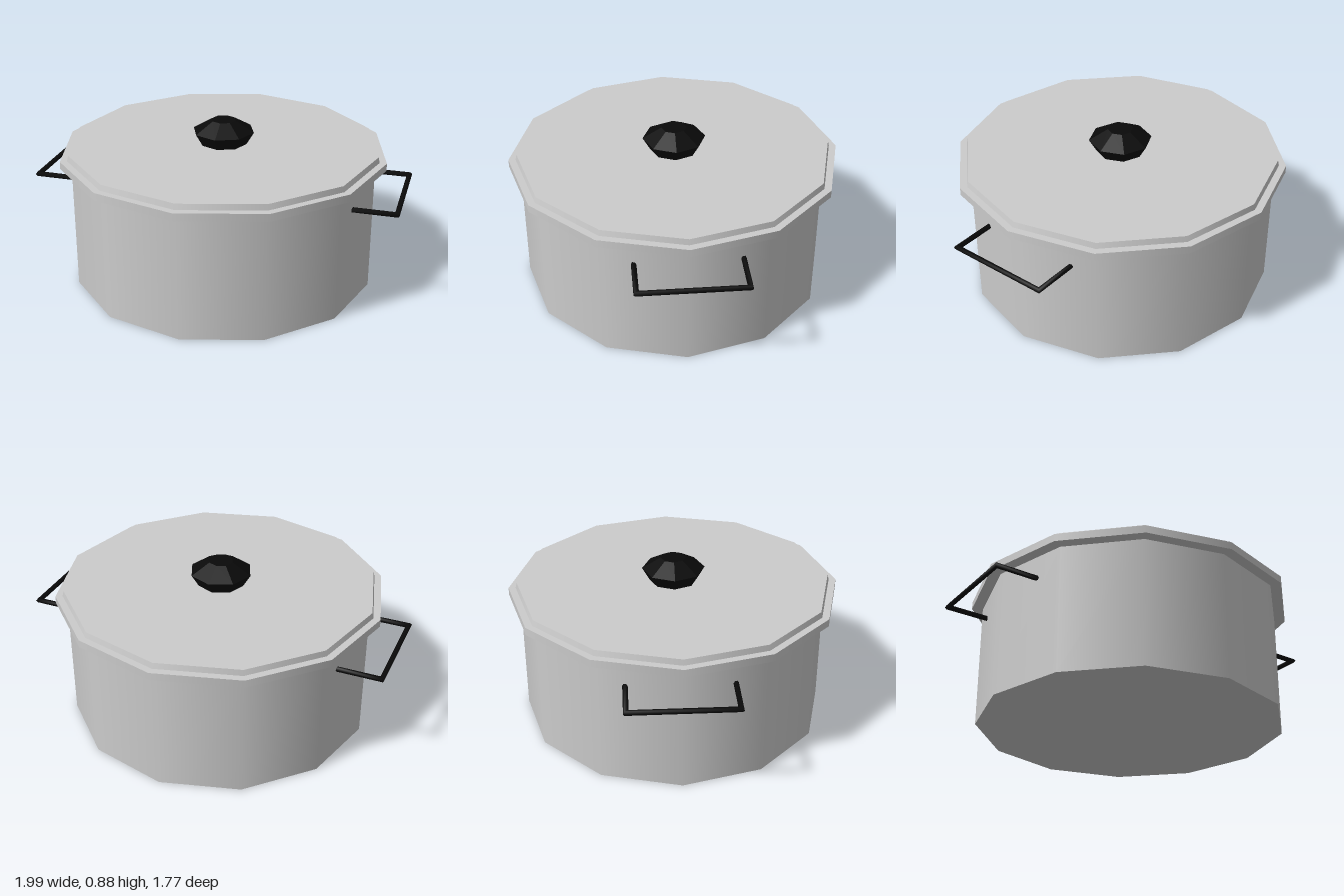
import * as THREE from 'three';

const steel = new THREE.MeshStandardMaterial({ color: 0xcccccc });
const black = new THREE.MeshStandardMaterial({ color: 0x0a0a0a });
const blackFacets = new THREE.MeshStandardMaterial({ color: 0x0a0a0a, flatShading: true });

// Twelve-sided smooth disc or drum between two heights
function drum(name, rTop, rBottom, y0, y1) {
  const geo = new THREE.CylinderGeometry(rTop, rBottom, y1 - y0, 12);
  geo.translate(0, (y0 + y1) / 2, 0);
  const mesh = new THREE.Mesh(geo, steel);
  mesh.name = name;
  return mesh;
}

// Hexagonal rod bent into a U with mitred corners, on side +1 or -1
function handleGeometry(side) {
  const r = 0.0135, sides = 6;
  // x, z of each ring centre, then its outward direction in x, z
  const stations = [
    [0.74, 0.27, 0, 1],
    [0.982, 0.27, 1, 1],
    [0.982, -0.27, 1, -1],
    [0.74, -0.27, 0, -1],
  ];
  const pos = [], index = [];
  stations.forEach(([x, z, ox, oz], i) => {
    for (let k = 0; k < sides; k++) {
      const a = (k / sides) * Math.PI * 2;
      const out = r * Math.cos(a);
      pos.push(side * (x + ox * out), r * Math.sin(a), z + oz * out);
      if (i === 0) continue;
      const k2 = (k + 1) % sides;
      const a0 = (i - 1) * sides + k, b0 = (i - 1) * sides + k2;
      const a1 = i * sides + k, b1 = i * sides + k2;
      if (side > 0) index.push(a0, a1, b1, a0, b1, b0);
      else index.push(a0, b1, a1, a0, b0, b1);
    }
  });
  const geo = new THREE.BufferGeometry();
  geo.setAttribute('position', new THREE.Float32BufferAttribute(pos, 3));
  geo.setIndex(index);
  geo.computeVertexNormals();
  return geo;
}

export function createModel() {
  const pot = new THREE.Group();
  pot.name = 'cookingPot';

  // Body, overhanging rim and raised lid
  pot.add(drum('body', 0.825, 0.825, 0, 0.69));
  pot.add(drum('rim', 0.885, 0.885, 0.683, 0.724));
  pot.add(drum('lid', 0.84, 0.848, 0.72, 0.754));

  // Faceted lid knob
  const profile = [[0, 0.752], [0.127, 0.752], [0.168, 0.822], [0.067, 0.882], [0, 0.882]];
  const knob = new THREE.Mesh(
    new THREE.LatheGeometry(profile.map(([x, y]) => new THREE.Vector2(x, y)), 8),
    blackFacets
  );
  knob.name = 'lidKnob';
  pot.add(knob);

  // Side handles
  for (const side of [1, -1]) {
    const handle = new THREE.Mesh(handleGeometry(side), black);
    handle.material.side = THREE.DoubleSide;
    handle.name = side > 0 ? 'leftHandle' : 'rightHandle';
    handle.position.set(0, 0.56, -0.008);
    pot.add(handle);
  }
  return pot;
}
